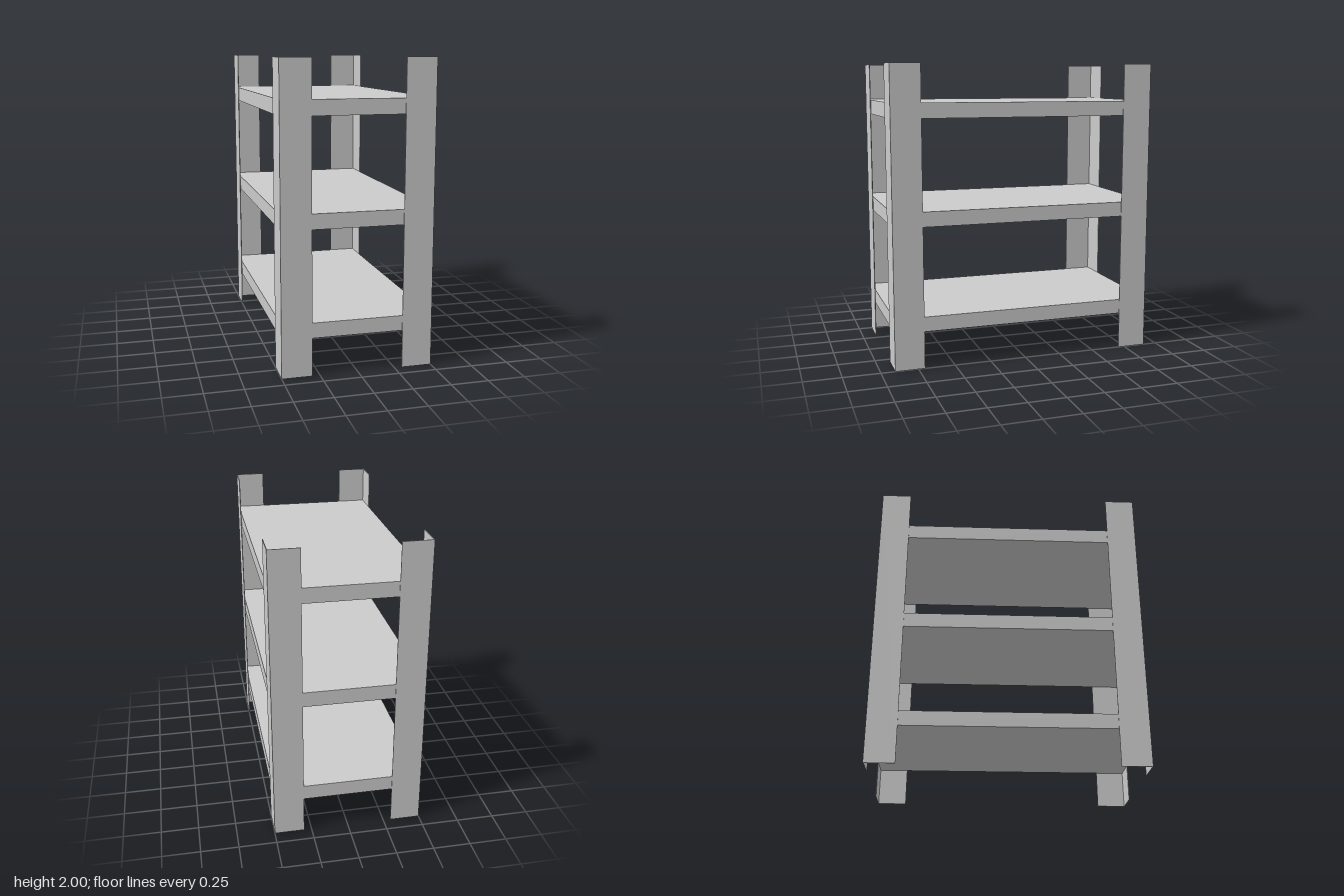
import * as THREE from 'three';

const HALF_W = 0.5, HALF_D = 0.905, HEIGHT = 2;
const LEG = 0.2, SHEET = 0.005; // angle post flange width and sheet thickness
const SHELF_T = 0.1;

export function createModel() {
  const model = new THREE.Group();
  model.name = 'shelvingUnit';
  const material = new THREE.MeshStandardMaterial({ color: 0xcccccc, flatShading: true });

  // Angle post: L section with its outer corner at the origin, extruded upwards
  const section = new THREE.Shape([
    [0, 0], [LEG, 0], [LEG, SHEET], [SHEET, SHEET], [SHEET, LEG], [0, LEG],
  ].map(([x, y]) => new THREE.Vector2(x, y)));
  const postGeometry = new THREE.ExtrudeGeometry(section, { depth: HEIGHT, bevelEnabled: false });
  postGeometry.rotateX(-Math.PI / 2); // flanges now run along +x and -z

  // Equal flanges, so quarter turns fit every corner
  const corners = [
    ['frontRightPost', -1, 1, 0],
    ['frontLeftPost', 1, 1, 1],
    ['backLeftPost', 1, -1, 2],
    ['backRightPost', -1, -1, 3],
  ];
  for (const [name, sx, sz, turns] of corners) {
    const post = new THREE.Mesh(postGeometry, material);
    post.name = name;
    post.position.set(sx * HALF_W, 0, sz * HALF_D);
    post.rotation.y = turns * Math.PI / 2;
    model.add(post);
  }

  // Three solid shelves seated inside the posts
  const shelfGeometry = new THREE.BoxGeometry(2 * (HALF_W - SHEET), SHELF_T, 2 * (HALF_D - SHEET));
  ['lowerShelf', 'middleShelf', 'upperShelf'].forEach((name, i) => {
    const shelf = new THREE.Mesh(shelfGeometry, material);
    shelf.name = name;
    shelf.position.y = 0.3 + i * 0.7;
    model.add(shelf);
  });

  return model;
}
